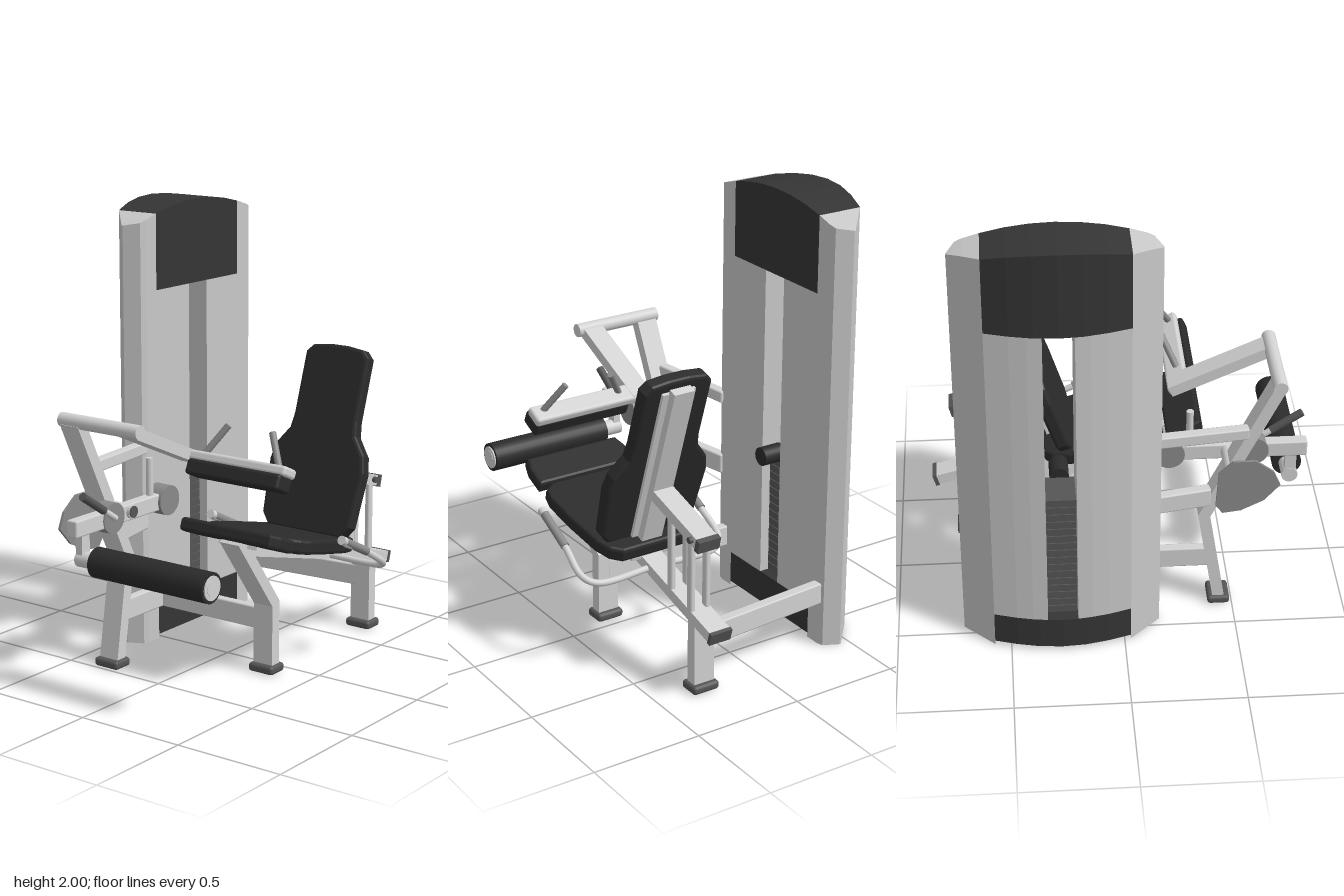
import * as THREE from 'three';
import { RoundedBoxGeometry } from 'three/addons/geometries/RoundedBoxGeometry.js';

const mat = (name, color) => {
  const m = new THREE.MeshStandardMaterial({ color });
  m.name = name;
  return m;
};

export function createModel() {
  const model = new THREE.Group();
  const silver = mat('silver paint', 0xd2d2d2);
  const shroud = mat('shroud silver', 0xc8c8c8);
  const charcoal = mat('charcoal cover', 0x353535);
  const vinyl = mat('black vinyl', 0x2b2b2b);
  const grey = mat('grey metal', 0x8a8a8a);
  const rubber = mat('dark rubber', 0x555555);

  const add = (name, geo, m, x = 0, y = 0, z = 0, rx = 0) => {
    const mesh = new THREE.Mesh(geo, m);
    mesh.name = name;
    mesh.position.set(x, y, z);
    mesh.rotation.x = rx;
    model.add(mesh);
    return mesh;
  };
  const box = (name, m, w, h, d, x, y, z, rx) => add(name, new THREE.BoxGeometry(w, h, d), m, x, y, z, rx);
  const soft = (name, m, w, h, d, x, y, z, rx) =>
    add(name, new RoundedBoxGeometry(w, h, d, 2, 0.015), m, x, y, z, rx);
  // Straight rectangular tube between two points
  const beam = (name, m, a, b, w, h) => {
    const p = new THREE.Vector3(...a), q = new THREE.Vector3(...b);
    const mesh = add(name, new RoundedBoxGeometry(w, h, p.distanceTo(q), 1, 0.008), m);
    mesh.position.copy(p).lerp(q, 0.5);
    mesh.lookAt(q);
  };
  // Straight round bar between two points
  const rod = (name, m, a, b, r) => {
    const p = new THREE.Vector3(...a), q = new THREE.Vector3(...b);
    const mesh = add(name, new THREE.CylinderGeometry(r, r, p.distanceTo(q), 24), m);
    mesh.position.copy(p).lerp(q, 0.5);
    mesh.quaternion.setFromUnitVectors(new THREE.Vector3(0, 1, 0), q.sub(p).normalize());
  };
  // Side profile of [z, y] points extruded across x
  const profile = (name, m, pts, x, width) => {
    const shape = new THREE.Shape(pts.map(p => new THREE.Vector2(p[0], p[1])));
    const geo = new THREE.ExtrudeGeometry(shape, { depth: width, bevelEnabled: false });
    geo.translate(0, 0, -width / 2).rotateY(-Math.PI / 2);
    return add(name, geo, m, x);
  };
  // Mitred rectangular tube following [z, y] points
  const bent = (name, m, pts, x, width, t) => {
    const v = pts.map(p => new THREE.Vector2(...p));
    const normal = i => {
      const d = v[i + 1].clone().sub(v[i]).normalize();
      return new THREE.Vector2(-d.y, d.x);
    };
    const offs = v.map((p, i) => {
      const a = normal(Math.max(i - 1, 0)), b = normal(Math.min(i, v.length - 2));
      const n = a.clone().add(b).normalize();
      return n.multiplyScalar(t / 2 / n.dot(a));
    });
    const side = k => v.map((p, i) => [p.x + k * offs[i].x, p.y + k * offs[i].y]);
    return profile(name, m, [...side(1), ...side(-1).reverse()], x, width);
  };

  // --- Weight tower: slices whose plan and arched top follow simple rules ---
  const CZ = -0.272;
  const interp = (table, d) => {
    for (let i = 1; i < table.length; i++) {
      const [a, u] = table[i - 1], [b, w] = table[i];
      if (d <= b || i === table.length - 1) return u + (w - u) * Math.min((d - a) / (b - a), 1);
    }
  };
  const outer = [[0, -0.64], [0.1, -0.633], [0.2, -0.612], [0.3, -0.582], [0.435, -0.455]];
  const inner = [[0, -0.372], [0.37, -0.372], [0.4, -0.38], [0.435, -0.45]];
  const towerPart = (name, m, ds, y0, y1) => {
    const n = ds.length - 1;
    let geo = new THREE.BoxGeometry(1, 1, 1, 1, 1, n);
    const p = geo.attributes.position;
    for (let i = 0; i < p.count; i++) {
      const d = ds[Math.round((p.getZ(i) + 0.5) * n)];
      const x = interp(p.getX(i) < 0 ? outer : inner, Math.abs(d));
      const y = p.getY(i) < 0 ? y0 : y1 ?? 2 - 0.45 * d * d;
      p.setXYZ(i, x, y, CZ + d);
    }
    geo = geo.toNonIndexed();
    geo.computeVertexNormals();
    add(name, geo, m);
  };
  const full = [-0.3, -0.2, -0.1, 0, 0.1, 0.2, 0.3];
  towerPart('towerCap', charcoal, full, 1.62);
  towerPart('towerBase', charcoal, full, 0.02, 0.17);
  towerPart('frontColumn', shroud, [0.3, 0.37, 0.4, 0.435], 0);
  towerPart('rearColumn', shroud, [-0.435, -0.4, -0.37, -0.3], 0);
  towerPart('frontPanel', shroud, [0.066, 0.13, 0.2, 0.3], 0.17, 1.62);
  towerPart('rearPanel', shroud, [-0.3, -0.2, -0.13, -0.066], 0.17, 1.62);
  for (let i = 0; i < 16; i++) box('weightPlate', rubber, 0.17, 0.034, 0.13, -0.5, 0.19 + i * 0.038, CZ);
  box('weightStackCore', charcoal, 0.15, 0.6, 0.12, -0.5, 0.47, CZ);
  rod('selectorKnob', vinyl, [-0.42, 0.78, CZ], [-0.315, 0.78, CZ], 0.042);

  // --- Frame ---
  const SX = 0.278, PX = -0.308;
  bent('frontPost', silver, [[0.44, 0.03], [0.365, 0.49], [0.68, 1.15]], PX, 0.1, 0.052);
  bent('seatFrontLeg', silver, [[0.34, 0.66], [0.088, 0.32], [0.088, 0.03]], SX, 0.1, 0.052);
  bent('seatRearLeg', silver, [[-0.685, 0.03], [-0.685, 0.36]], SX, 0.1, 0.052);
  bent('mainBeam', silver, [[0.26, 0.6], [-0.82, 0.315]], SX, 0.1, 0.05);
  bent('beamEndCap', rubber, [[-0.815, 0.316], [-0.832, 0.311]], SX, 0.106, 0.056);
  for (const [x, z] of [[PX, 0.44], [SX, 0.088], [SX, -0.685]]) {
    soft('foot', rubber, 0.13, 0.04, 0.1, x, 0.02, z);
  }
  beam('frontCrossbar', silver, [-0.4, 0.24, 0.083], [SX, 0.24, 0.083], 0.045, 0.1);
  beam('postBrace', silver, [PX, 0.24, 0.083], [PX, 0.24, 0.41], 0.045, 0.1);
  beam('rearCrossbar', silver, [-0.4, 0.25, -0.63], [SX, 0.25, -0.685], 0.05, 0.1);
  beam('upperTie', silver, [-0.387, 0.92, 0.11], [-0.335, 0.92, 0.55], 0.05, 0.055);
  beam('lowerTie', silver, [-0.387, 0.59, 0.11], [-0.335, 0.59, 0.39], 0.05, 0.09);

  // --- Cushions: mirrored outline of [distance, half width], laid along a slope ---
  const cushion = (name, rows, t, y, z, rx, shift) => {
    const b = 0.014;
    const half = rows.map(([s, w]) => [w - b, s]);
    const pts = [...half, ...half.slice().reverse().map(([w, s]) => [-w, s])];
    const geo = new THREE.ExtrudeGeometry(new THREE.Shape(pts.map(p => new THREE.Vector2(...p))),
      { depth: t - 2 * b, bevelSize: b, bevelThickness: b, bevelSegments: 2 });
    geo.translate(0, 0, b + shift);
    add(name, geo, vinyl, SX - 0.005, y, z, rx);
  };
  cushion('seatCushion', [[0.015, 0.17], [0.05, 0.21], [0.12, 0.235], [0.3, 0.255], [0.46, 0.262],
    [0.51, 0.25], [0.54, 0.21]], 0.065, 0.545, -0.33, 1.343, 0);
  cushion('seatFrontCushion', [[0.012, 0.25], [0.1, 0.25], [0.15, 0.235]], 0.06, 0.67, 0.225, 1.19, 0);
  const BT = -0.322;
  cushion('backCushion', [[0.015, 0.2], [0.06, 0.235], [0.3, 0.25], [0.37, 0.235], [0.45, 0.175], [0.52, 0.165],
    [0.8, 0.165], [0.825, 0.14], [0.835, 0.06]], 0.065, 0.57, -0.19, BT, -0.065);
  bent('seatPlate', silver, [[0.3, 0.628], [0.2, 0.592], [-0.3, 0.475]], SX, 0.2, 0.02);

  // --- Backrest support ---
  const back = (s, n) => [-0.19 - 0.316 * s + 0.949 * n, 0.57 + 0.949 * s + 0.316 * n];
  bent('backPlate', silver, [back(0.02, -0.072), back(0.8, -0.072)], SX, 0.16, 0.016);
  bent('backSpine', silver, [back(0, -0.095), back(0.82, -0.095)], SX, 0.1, 0.04);
  bent('backArm', silver, [[-0.36, 0.805], [-0.73, 0.7]], SX, 0.1, 0.05);
  bent('backArmCap', rubber, [[-0.715, 0.704], [-0.742, 0.697]], SX, 0.108, 0.056);
  for (const dx of [-0.038, 0.038]) {
    beam('backStrut', silver, [SX + dx, 0.76, -0.515], [SX + dx, 0.4, -0.515], 0.024, 0.036);
    beam('backStrut', silver, [SX + dx, 0.72, -0.665], [SX + dx, 0.36, -0.665], 0.024, 0.036);
  }
  rod('strutBolt', rubber, [SX - 0.06, 0.715, -0.685], [SX + 0.066, 0.715, -0.685], 0.014);

  // --- Side handles with grips ---
  const sidePts = [[-0.35, 0.63, 0.02], [-0.35, 0.55, -0.16], [-0.35, 0.465, -0.3], [-0.3, 0.437, -0.34], [0, 0.437, -0.34]];
  for (const s of [1, -1]) {
    const path = new THREE.CatmullRomCurve3(
      sidePts.map(p => new THREE.Vector3(SX + s * p[0], p[1], p[2])), false, 'centripetal');
    add('sideHandle', new THREE.TubeGeometry(path, 40, 0.015, 12), silver);
    rod('sideGrip', grey, [SX - s * 0.35, 0.635, 0.01], [SX - s * 0.35, 0.55, -0.165], 0.019);
    rod('sideHandleTip', silver, [SX - s * 0.35, 0.645, 0.032], [SX - s * 0.35, 0.634, 0.008], 0.02);
  }

  // --- Thigh hold-down ---
  rod('topPivotBar', silver, [-0.37, 1.155, 0.675], [0.057, 1.155, 0.675], 0.031);
  bent('thighArm', silver, [[0.67, 1.148], [0.235, 0.955]], -0.015, 0.1, 0.05);
  soft('thighBar', silver, 0.595, 0.045, 0.095, 0.232, 0.972, 0.27, -0.43);
  soft('thighPad', vinyl, 0.485, 0.07, 0.105, 0.282, 0.93, 0.305, -0.43);
  for (const s of [1, -1]) {
    rod('thighHandle', grey, [SX - s * 0.195, 0.99, 0.275], [SX - s * 0.115, 1.115, 0.21], 0.015);
  }

  // --- Leg lever and ankle roller ---
  const LX = -0.192;
  beam('leverArm', silver, [LX, 0.735, 0.83], [LX, 0.735, 0.22], 0.055, 0.075);
  rod('leverAxle', silver, [-0.39, 0.74, 0.475], [-0.15, 0.74, 0.475], 0.03);
  rod('axleCap', rubber, [-0.16, 0.74, 0.475], [-0.145, 0.74, 0.475], 0.026);
  rod('adjusterDisc', grey, [LX - 0.033, 0.735, 0.59], [LX + 0.033, 0.735, 0.59], 0.068);
  rod('counterweight', grey, [LX - 0.04, 0.735, 0.22], [LX + 0.04, 0.735, 0.22], 0.067);
  rod('leverPeg', silver, [LX, 0.72, 0.31], [LX, 0.94, 0.31], 0.016);
  profile('camPlate', grey, [[0.69, 0.67], [0.62, 0.59], [0.52, 0.54], [0.44, 0.53], [0.41, 0.57], [0.42, 0.74],
    [0.48, 0.8], [0.58, 0.8], [0.66, 0.74]], -0.385, 0.012);
  rod('leverHandle', silver, [-0.145, 0.74, 0.6], [-0.145, 0.8, 0.69], 0.014);
  rod('leverGrip', rubber, [-0.145, 0.79, 0.675], [-0.145, 0.88, 0.81], 0.018);
  box('rollerBracket', silver, 0.035, 0.13, 0.05, LX, 0.66, 0.76);
  rod('rollerAxle', silver, [LX - 0.02, 0.59, 0.758], [0.494, 0.59, 0.758], 0.036);
  rod('ankleRoller', vinyl, [-0.115, 0.59, 0.758], [0.486, 0.59, 0.758], 0.066);
  rod('rollerEnd', silver, [0.482, 0.59, 0.758], [0.492, 0.59, 0.758], 0.052);

  return model;
}
